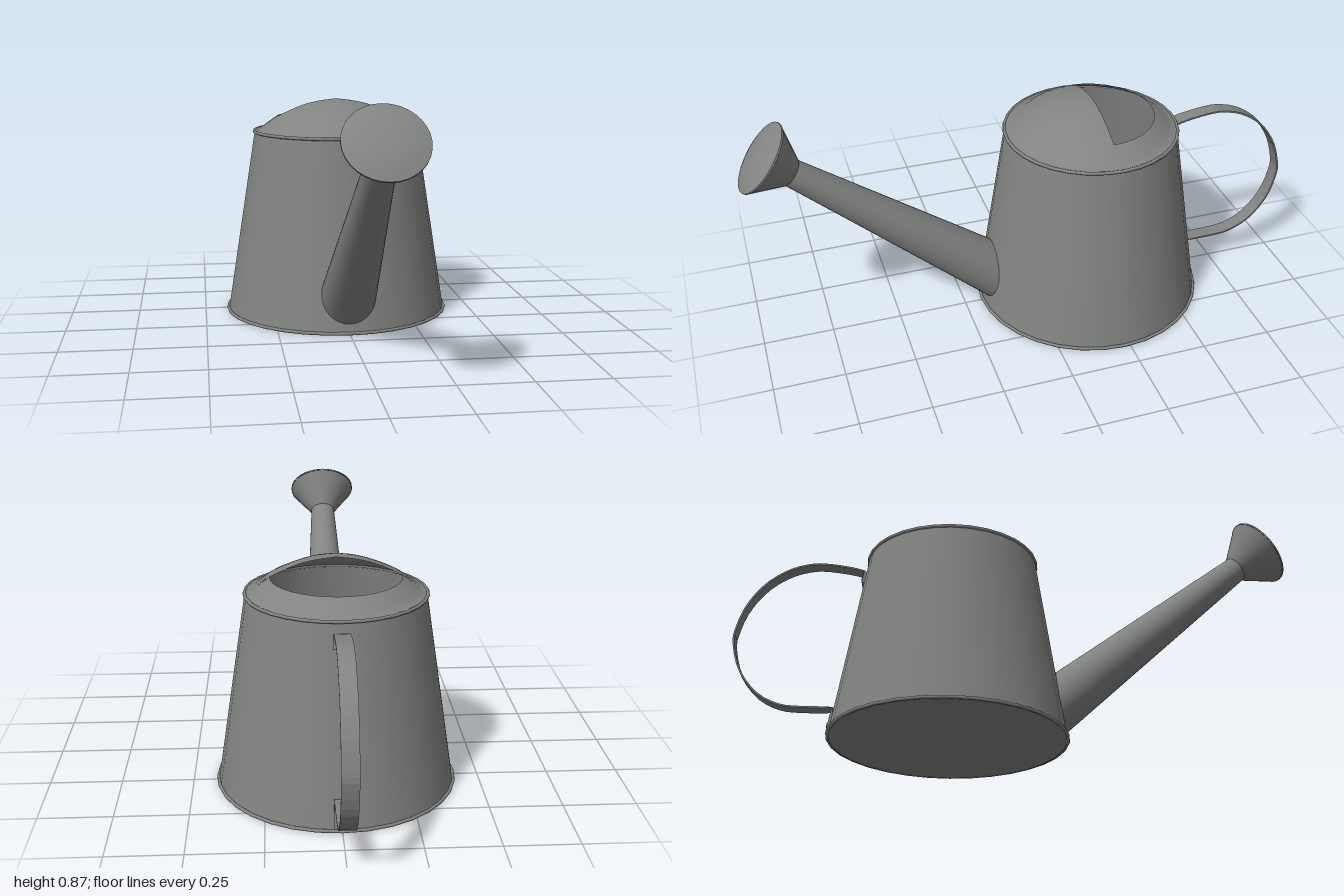
import * as THREE from 'three';

const CZ = -0.23; // z of the can's axis
const bodyRadius = (y) => 0.412 - (0.106 * y) / 0.68;
const V2 = (pts) => pts.map(([x, y]) => new THREE.Vector2(x, y));
const smooth = (pts, n) => new THREE.SplineCurve(V2(pts)).getPoints(n);

export function createModel() {
  const model = new THREE.Group();
  model.name = 'wateringCan';
  const metal = new THREE.MeshStandardMaterial({ color: 0x828482, side: THREE.DoubleSide });
  metal.name = 'grey metal';

  const add = (name, geometry, parent = model) => {
    const mesh = new THREE.Mesh(geometry, metal);
    mesh.name = name;
    parent.add(mesh);
    return mesh;
  };

  // Tapered open body with a floor and two rolled rims
  const can = new THREE.Group();
  can.name = 'can';
  can.position.z = CZ;
  model.add(can);
  add('body', new THREE.CylinderGeometry(bodyRadius(0.68), bodyRadius(0), 0.68, 32, 1, true).translate(0, 0.34, 0), can);
  add('floor', new THREE.CircleGeometry(0.414, 32).rotateX(Math.PI / 2).translate(0, 0.002, 0), can);
  const rim = (name, r, y) =>
    add(name, new THREE.TorusGeometry(r, 0.006, 8, 32).rotateX(Math.PI / 2).translate(0, y, 0), can);
  rim('bottomRim', 0.414, 0.006);
  rim('topRim', 0.307, 0.681);

  // Domed hood over the front half, collar around the filling hole at the back
  const collar = [[0.308, 0.683], [0.285, 0.691], [0.255, 0.712], [0.222, 0.735]];
  const dome = [...collar, [0.13, 0.776], [0.06, 0.793], [0, 0.8]];
  add('hood', new THREE.LatheGeometry(smooth(dome, 16), 16, -Math.PI / 2, Math.PI), can);
  add('collar', new THREE.LatheGeometry(smooth(collar, 8), 16, Math.PI / 2, Math.PI), can);

  // Tapered spout, its base trimmed to the body wall
  const start = new THREE.Vector3(0, 0.155, 0.16);
  const end = new THREE.Vector3(0, 0.7, 0.828);
  const axis = end.clone().sub(start).normalize();
  const tilt = new THREE.Quaternion().setFromUnitVectors(new THREE.Vector3(0, 1, 0), axis);
  const length = end.distanceTo(start) + 0.2;
  const spout = new THREE.CylinderGeometry(0.047, 0.108, length, 32, 1, true)
    .translate(0, -length / 2, 0)
    .applyQuaternion(tilt)
    .translate(end.x, end.y, end.z);
  const pos = spout.attributes.position;
  const half = pos.count / 2;
  const tip = new THREE.Vector3(), base = new THREE.Vector3(), p = new THREE.Vector3();
  for (let i = 0; i < half; i++) {
    tip.fromBufferAttribute(pos, i);
    base.fromBufferAttribute(pos, i + half);
    let outside = 0, inside = 1;
    for (let k = 0; k < 30; k++) {
      const t = (outside + inside) / 2;
      p.lerpVectors(tip, base, t);
      if (Math.hypot(p.x, p.z - CZ) > bodyRadius(p.y)) outside = t;
      else inside = t;
    }
    p.lerpVectors(tip, base, inside);
    pos.setXYZ(i + half, p.x, p.y, p.z);
  }
  add('spout', spout);

  // Sprinkler rose: flared cone with a gently domed face
  const rose = new THREE.Group();
  rose.name = 'rose';
  rose.position.copy(end);
  rose.quaternion.copy(tilt);
  model.add(rose);
  add('roseCone', new THREE.LatheGeometry(V2([[0.047, -0.005], [0.053, 0], [0.128, 0.108]]), 32), rose);
  add('roseEdge', new THREE.CylinderGeometry(0.129, 0.129, 0.006, 32, 1, true).translate(0, 0.111, 0), rose);
  add('roseFace', new THREE.LatheGeometry(smooth([[0.129, 0.114], [0.09, 0.125], [0.045, 0.131], [0, 0.133]], 8), 32), rose);

  // Strap handle: a curved band bent into a tab at each end, in (-z, y)
  const wall = (y) => bodyRadius(y) - CZ + 0.004;
  const bow = smooth([
    [wall(0.645) + 0.003, 0.645], [0.6, 0.658], [0.68, 0.669], [0.74, 0.668], [0.82, 0.643], [0.9, 0.585],
    [0.96, 0.5], [0.99, 0.41], [0.994, 0.35], [0.965, 0.25], [0.9, 0.165], [0.82, 0.122], [0.74, 0.113],
    [wall(0.113) + 0.003, 0.113],
  ], 40);
  const path = [...V2([[wall(0.6), 0.6]]), ...bow, ...V2([[wall(0.015), 0.015]])];
  const offset = (d) => path.map((q, i) => {
    const a = path[Math.max(i - 1, 0)], b = path[Math.min(i + 1, path.length - 1)];
    const t = b.clone().sub(a).normalize();
    return new THREE.Vector2(q.x - t.y * d, q.y + t.x * d);
  });
  const band = new THREE.Shape([...offset(0.003), ...offset(-0.003).reverse()]);
  add('handle', new THREE.ExtrudeGeometry(band, { depth: 0.054, bevelEnabled: false })
    .rotateY(Math.PI / 2).translate(-0.027, 0, 0));

  // Mounting tabs with rivets, lying on the sloped wall
  const slope = Math.atan(0.106 / 0.68);
  for (const [name, y, h] of [['upper', 0.62, 0.044], ['lower', 0.055, 0.08]]) {
    const mount = new THREE.Group();
    mount.name = name + 'Mount';
    mount.position.set(0, y, -wall(y));
    mount.rotation.x = slope;
    model.add(mount);
    add(name + 'Tab', new THREE.BoxGeometry(0.054, h, 0.012), mount);
    add(name + 'Rivet', new THREE.CylinderGeometry(0.01, 0.01, 0.008, 12).rotateX(Math.PI / 2).translate(0, 0, -0.008), mount);
  }
  return model;
}
